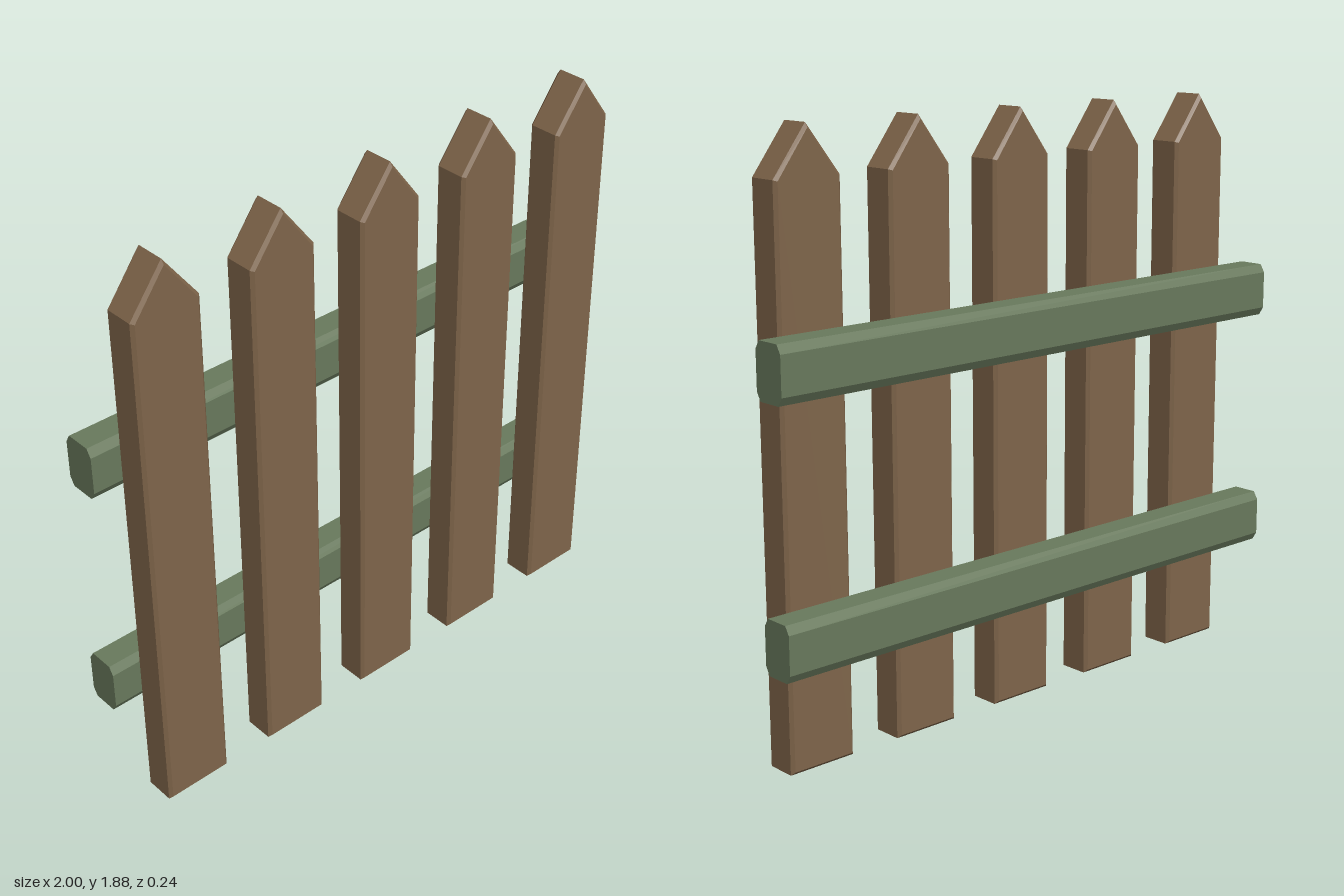
import * as THREE from 'three';

const wood = new THREE.MeshStandardMaterial({ name: 'brownWood', color: 0x7f654a, flatShading: true });
const green = new THREE.MeshStandardMaterial({ name: 'greenWood', color: 0x68795c, flatShading: true });

const polygon = (points) => new THREE.Shape(points.map(([x, y]) => new THREE.Vector2(x, y)));

// Pointed board with a narrow chamfer on its front and back edges
function picketGeometry() {
  const w = 0.114, bevel = 0.01, depth = 0.115;
  const outline = polygon([[-w, 0], [w, 0], [w, 1.735], [0, 1.885], [-w, 1.735]]);
  const geometry = new THREE.ExtrudeGeometry(outline, {
    depth: depth - 2 * bevel, bevelEnabled: true, bevelSegments: 1,
    bevelSize: bevel, bevelThickness: bevel, bevelOffset: -bevel,
  });
  return geometry.translate(0, 0, 0.005 + bevel);
}

// Straight beam along x with chamfered long edges
function railGeometry() {
  const hz = 0.057, hy = 0.086, cz = 0.016, cy = 0.026;
  const section = polygon([
    [-hz + cz, -hy], [hz - cz, -hy], [hz, -hy + cy], [hz, hy - cy],
    [hz - cz, hy], [-hz + cz, hy], [-hz, hy - cy], [-hz, -hy + cy],
  ]);
  const geometry = new THREE.ExtrudeGeometry(section, { depth: 2, bevelEnabled: false });
  return geometry.translate(0, 0, -1).rotateY(Math.PI / 2);
}

export function createModel() {
  const fence = new THREE.Group();
  fence.name = 'picketFence';

  // Five upright pickets
  const picket = picketGeometry();
  for (let i = 0; i < 5; i++) {
    const mesh = new THREE.Mesh(picket, wood);
    mesh.name = `picket${i + 1}`;
    mesh.position.x = (i - 2) * 0.4;
    fence.add(mesh);
  }

  // Two rails behind the pickets
  const rail = railGeometry();
  for (const [name, y] of [['lowerRail', 0.428], ['upperRail', 1.226]]) {
    const mesh = new THREE.Mesh(rail, green);
    mesh.name = name;
    mesh.position.set(0, y, -0.06);
    fence.add(mesh);
  }
  return fence;
}
